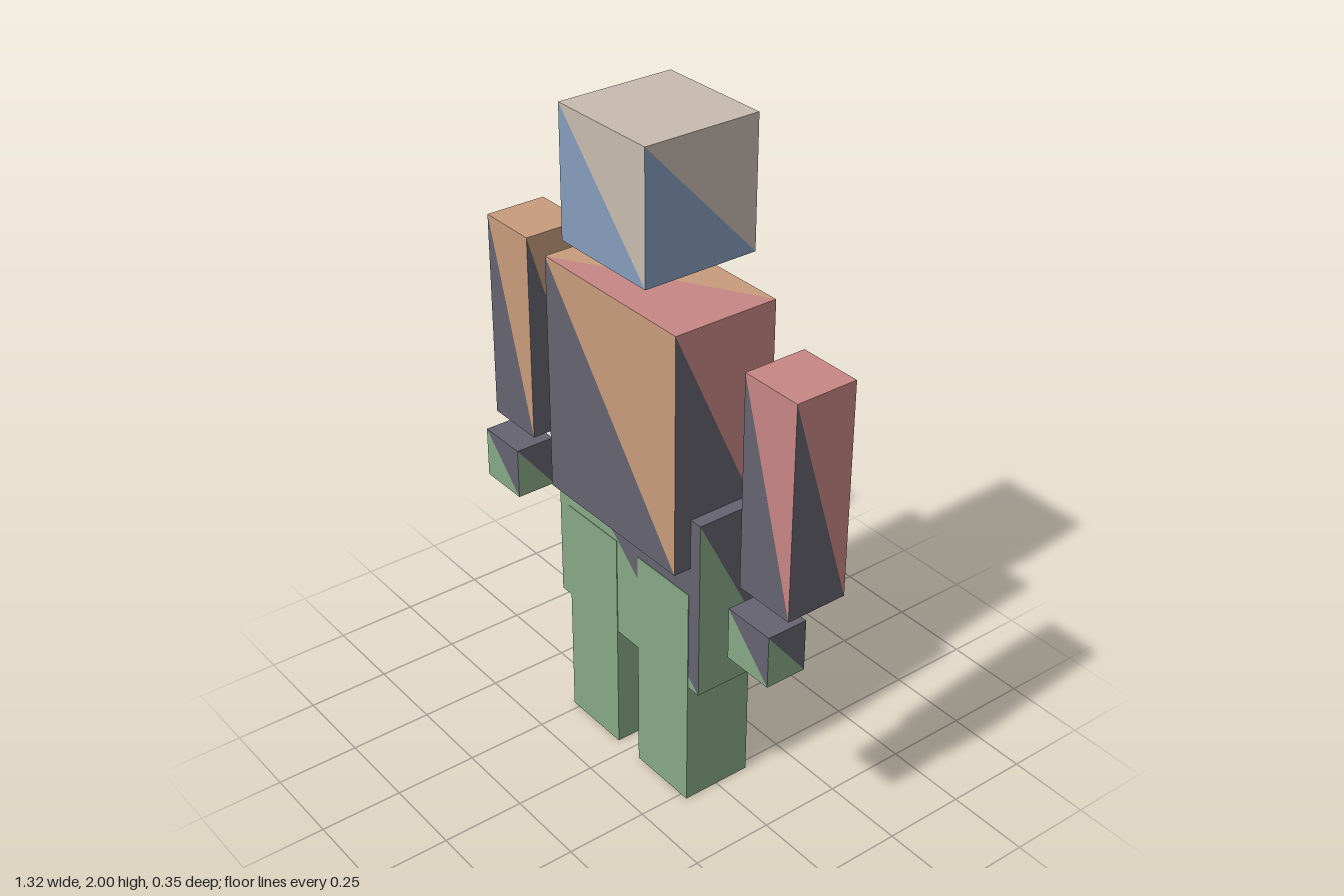
import * as THREE from 'three';

const paint = (name, color) => {
  const m = new THREE.MeshStandardMaterial({ color });
  m.name = name;
  return m;
};

// Box whose four sides are split corner to corner into a lower-left and an upper-right colour.
// The top can be split too: topBack fills its back-left half, topFront its front-right half.
function splitBox(name, [x0, x1], [y0, y1], [z0, z1], { lower, upper, topBack = upper, topFront = topBack, bottom = lower }) {
  const geometry = new THREE.BoxGeometry(x1 - x0, y1 - y0, z1 - z0);
  geometry.clearGroups();
  const materials = [lower, upper, topBack, topFront, bottom];
  const index = [];
  const addTriangle = (face, corners, material) => {
    geometry.addGroup(index.length, 3, material);
    corners.forEach((c) => index.push(face * 4 + c));
  };
  // Corners of each face: 0 top left, 1 top right, 2 bottom left, 3 bottom right
  for (const side of [0, 1, 4, 5]) {
    addTriangle(side, [0, 2, 3], 0);
    addTriangle(side, [0, 3, 1], 1);
  }
  addTriangle(2, [0, 2, 1], 2);
  addTriangle(2, [2, 3, 1], 3);
  addTriangle(3, [0, 2, 1], 4);
  addTriangle(3, [2, 3, 1], 4);
  geometry.setIndex(index);

  const mesh = new THREE.Mesh(geometry, materials);
  mesh.name = name;
  mesh.position.set((x0 + x1) / 2, (y0 + y1) / 2, (z0 + z1) / 2);
  return mesh;
}

export function createModel() {
  const tan = paint('tan', 0xc9bcb1);
  const blue = paint('blue', 0x869dbd);
  const orange = paint('orange', 0xc99d7d);
  const red = paint('red', 0xc88786);
  const slate = paint('slate', 0x656470);
  const green = paint('green', 0x87aa87);

  const model = new THREE.Group();
  model.name = 'blockFigure';

  // Head, floating above the torso
  model.add(splitBox('head', [-0.177, 0.177], [1.62, 2], [-0.177, 0.177], { lower: blue, upper: tan }));

  // Torso: orange, but its left side and half of its top are red
  const torso = splitBox('torso', [-0.28, 0.28], [0.81, 1.53], [-0.162, 0.162],
    { lower: slate, upper: orange, topFront: red });
  torso.material.push(red);
  torso.geometry.groups[1].materialIndex = 5;
  model.add(torso);

  // Hips
  model.add(splitBox('hips', [-0.32, 0.32], [0.405, 0.965], [-0.177, 0.108], { lower: green, upper: slate }));

  // Arms, hands and legs on both sides
  for (const [side, sign, sleeve] of [['left', 1, red], ['right', -1, orange]]) {
    const span = (centre, width) => [sign * centre - width / 2, sign * centre + width / 2];
    model.add(splitBox(side + 'Arm', span(0.563, 0.192), [0.85, 1.49], [-0.095, 0.094], { lower: slate, upper: sleeve }));
    model.add(splitBox(side + 'Hand', span(0.563, 0.16), [0.655, 0.813], [0.018, 0.143], { lower: green, upper: slate }));

    const leg = new THREE.Mesh(new THREE.BoxGeometry(0.226, 0.72, 0.22), green);
    leg.name = side + 'Leg';
    leg.position.set(sign * 0.162, 0.36, 0);
    model.add(leg);
  }

  return model;
}
